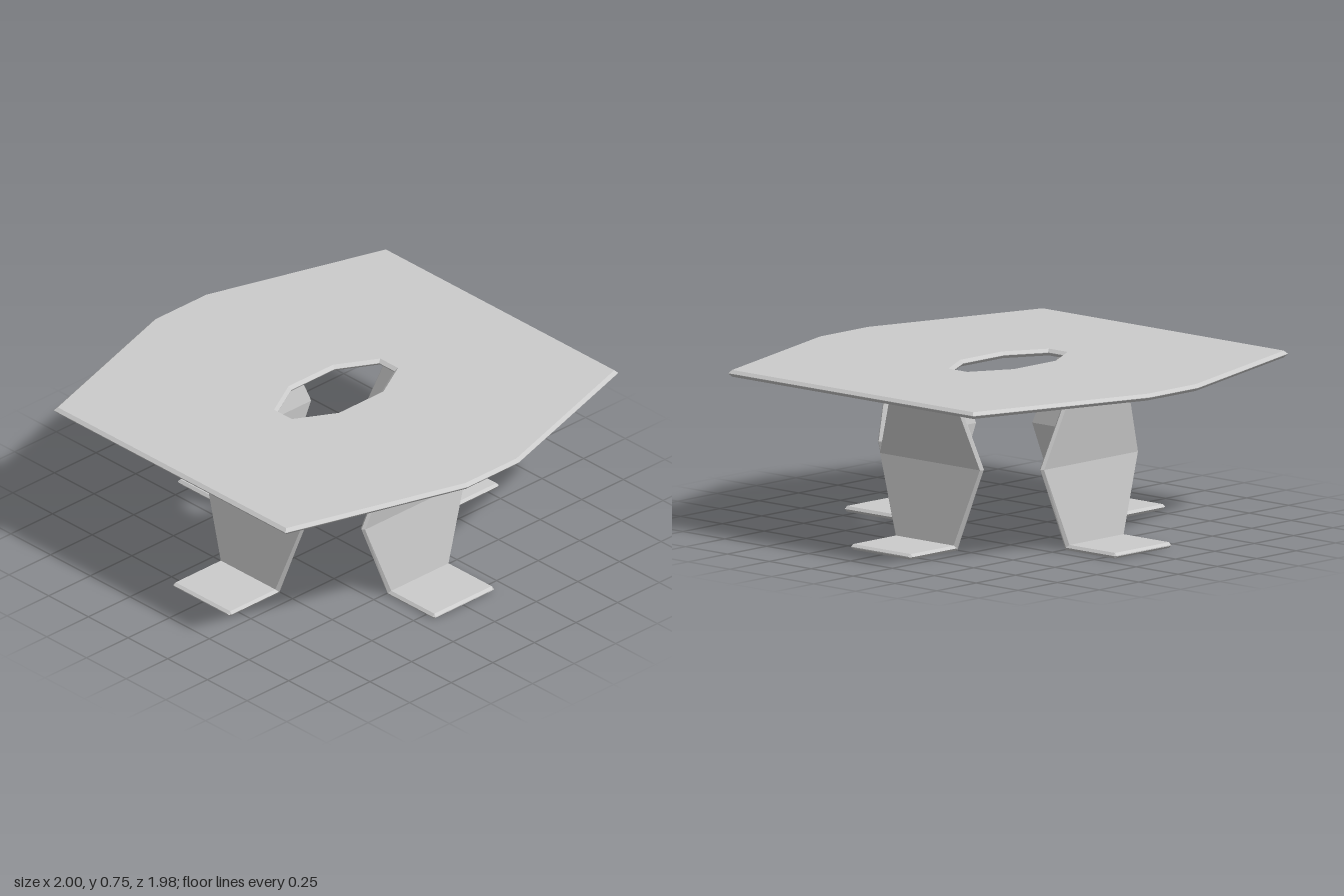
import * as THREE from 'three';

const material = new THREE.MeshStandardMaterial({ color: 0xcccccc, flatShading: true, side: THREE.DoubleSide });

// Bevelled slab with an eight-sided opening in the middle
function createTop() {
  const octagon = (a, b, c, d) => [
    [a, -b], [a, b], [c, d], [-c, d], [-a, b], [-a, -b], [-c, -d], [c, -d],
  ].map(([x, y]) => new THREE.Vector2(x, y));
  const shape = new THREE.Shape(octagon(1, 0.73, 0.155, 0.99));
  shape.holes.push(new THREE.Path(octagon(0.305, 0.048, 0.13, 0.145)));
  const bevel = 0.014;
  const geometry = new THREE.ExtrudeGeometry(shape, {
    depth: 0.002, bevelThickness: bevel, bevelSize: bevel, bevelOffset: -bevel, bevelSegments: 1,
  });
  geometry.rotateX(-Math.PI / 2).translate(0, 0.72 + bevel, 0);
  const top = new THREE.Mesh(geometry, material);
  top.name = 'tableTop';
  return top;
}

// Bent plate: six-sided cross-section swept down the leg and out along the foot
function createLegGeometry() {
  const t = 0.0125;
  // distance outward, height, half width, half thickness
  const stations = [
    [0.538, 0.73, 0.178, t],
    [0.483, 0.37, 0.308, t],
    [0.517, t, 0.182, t],
    [0.8, t, 0.182, t],
    [0.812, t, 0.175, 0.002],
  ];
  const positions = [];
  const indices = [];
  const direction = (i) => new THREE.Vector2(
    stations[i + 1][0] - stations[i][0], stations[i + 1][1] - stations[i][1]).normalize();

  stations.forEach(([out, y, w, half], i) => {
    // mitred normal keeps the plate thickness constant through each bend
    const before = direction(Math.max(i - 1, 0));
    const after = direction(Math.min(i, stations.length - 2));
    const tangent = before.clone().add(after).normalize();
    const miter = half / tangent.dot(after);
    const nx = -tangent.y * miter;
    const ny = tangent.x * miter;
    const b = 0.01;
    const ring = [[-w, 0], [-w + b, 1], [w - b, 1], [w, 0], [w - b, -1], [-w + b, -1]];
    for (const [x, s] of ring) positions.push(x, y + ny * s, out + nx * s);
  });

  for (let i = 0; i < stations.length - 1; i++) {
    for (let j = 0; j < 6; j++) {
      const a = i * 6 + j;
      const b = i * 6 + (j + 1) % 6;
      indices.push(a, a + 6, b, b, a + 6, b + 6);
    }
  }
  // end caps
  const last = (stations.length - 1) * 6;
  for (let j = 1; j < 5; j++) {
    indices.push(0, j, j + 1, last, last + j + 1, last + j);
  }
  const geometry = new THREE.BufferGeometry();
  geometry.setAttribute('position', new THREE.Float32BufferAttribute(positions, 3));
  geometry.setIndex(indices);
  const flat = geometry.toNonIndexed();
  flat.computeVertexNormals();
  return flat;
}

export function createModel() {
  const group = new THREE.Group();
  group.name = 'table';
  group.add(createTop());

  // Four identical legs, one facing each side
  const legGeometry = createLegGeometry();
  ['frontLeg', 'leftLeg', 'backLeg', 'rightLeg'].forEach((name, i) => {
    const leg = new THREE.Mesh(legGeometry, material);
    leg.name = name;
    leg.rotation.y = i * Math.PI / 2;
    group.add(leg);
  });
  return group;
}
